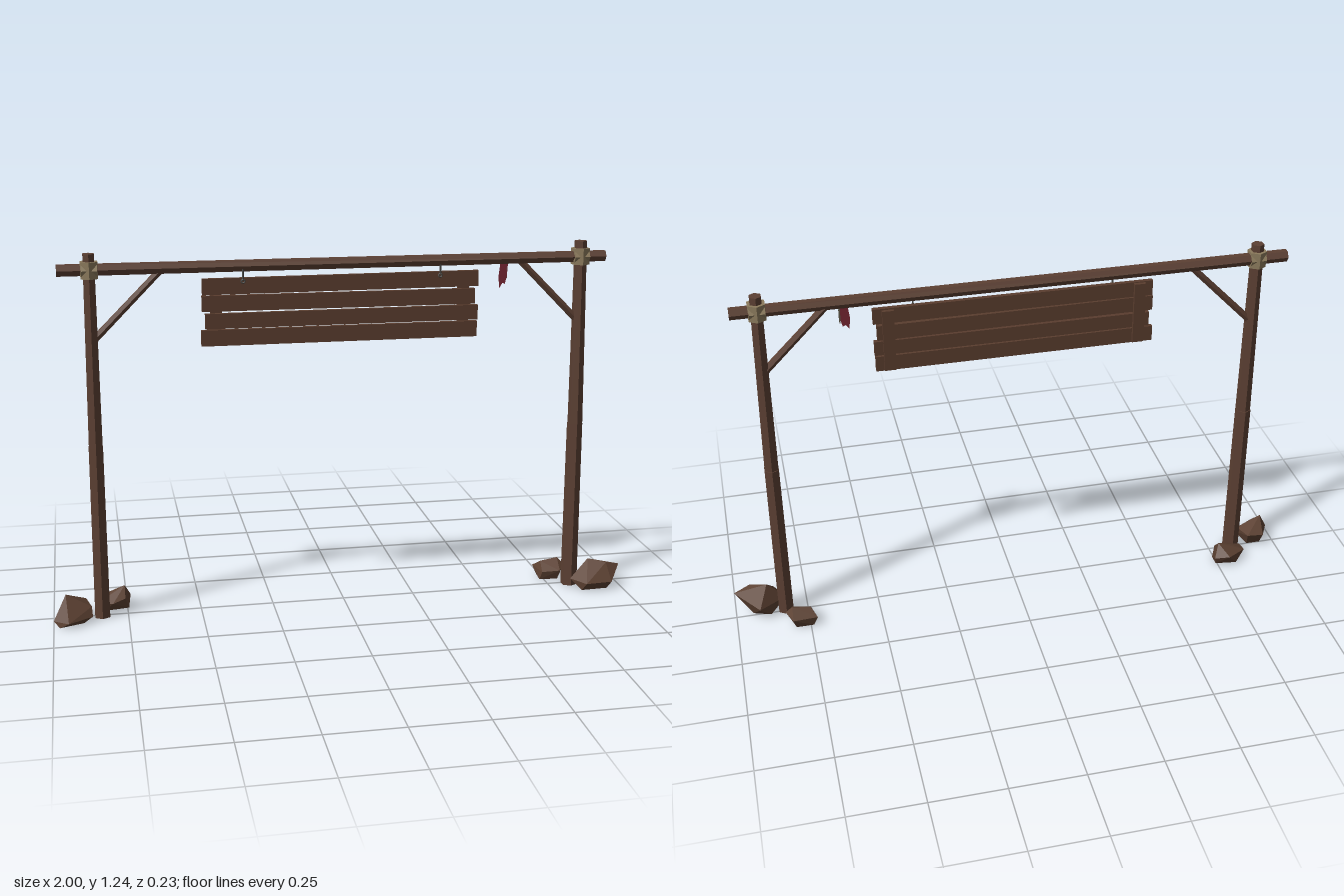
import * as THREE from 'three';
import { ConvexGeometry } from 'three/addons/geometries/ConvexGeometry.js';

const mat = (name, color, extra = {}) => {
  const m = new THREE.MeshStandardMaterial({ color, flatShading: true, ...extra });
  m.name = name;
  return m;
};

export function createModel() {
  const wood = mat('wood', 0x5c4033);
  const plankWood = mat('plankWood', 0x5a3d2e);
  const rope = mat('rope', 0x8b7a5c);
  const iron = mat('iron', 0x4a4a48);
  const stone = mat('stone', 0x5c4132);
  const redCloth = mat('redCloth', 0x8b2e3c, { side: THREE.DoubleSide });
  const paleCloth = mat('paleCloth', 0x857a66, { side: THREE.DoubleSide });

  const model = new THREE.Group();
  model.name = 'hangingSignGate';

  const add = (name, geometry, material, x = 0, y = 0, z = 0) => {
    const mesh = new THREE.Mesh(geometry, material);
    mesh.name = name;
    mesh.position.set(x, y, z);
    model.add(mesh);
    return mesh;
  };

  // Tapered pole from point a to point b
  const pole = (name, a, b, ra, rb, material = wood, sides = 6) => {
    const p = new THREE.Vector3(...a), q = new THREE.Vector3(...b);
    const dir = q.clone().sub(p);
    const mesh = add(name, new THREE.CylinderGeometry(rb, ra, dir.length(), sides), material);
    mesh.position.copy(p).add(q).multiplyScalar(0.5);
    mesh.quaternion.setFromUnitVectors(new THREE.Vector3(0, 1, 0), dir.normalize());
    return mesh;
  };

  // Posts, lashings and diagonal braces
  const posts = [
    { side: 'right', base: -0.837, mid: -0.834, top: -0.83, s: -1 },
    { side: 'left', base: 0.826, mid: 0.824, top: 0.817, s: 1 },
  ];
  for (const { side, base, mid, top, s } of posts) {
    pole(side + 'LowerPost', [base, 0, 0.009], [mid, 0.6, 0.008], 0.029, 0.027);
    pole(side + 'UpperPost', [mid, 0.6, 0.01], [top, 1.24, 0.011], 0.026, 0.021);
    pole(side + 'PostLashing', [top, 1.16, 0.011], [top, 1.215, 0.011], 0.032, 0.032, rope);
    pole(side + 'BeamLashing', [top - 0.026, 1.187, 0.011], [top + 0.026, 1.187, 0.011], 0.028, 0.028, rope);
    pole(side + 'Brace', [s * 0.82, 0.962, 0.009], [s * 0.603, 1.18, 0.009], 0.013, 0.012);
  }

  // Cross beam
  pole('crossBeam', [-0.933, 1.188, 0.008], [0.903, 1.187, 0.012], 0.021, 0.02);

  // Sign planks: left end, right end, centre height, height, tilt
  const planks = [
    [-0.471, 0.458, 1.123, 0.053, 0.002],
    [-0.473, 0.447, 1.065, 0.052, -0.003],
    [-0.463, 0.458, 1.008, 0.05, 0.001],
    [-0.477, 0.456, 0.952, 0.053, 0],
  ];
  planks.forEach(([x0, x1, y, h, tilt], i) => {
    const plank = add('signPlank' + (i + 1), new THREE.BoxGeometry(x1 - x0, h, 0.015), plankWood,
      (x0 + x1) / 2, y, 0.013);
    plank.rotation.z = tilt;
  });
  for (const x of [-0.425, 0.41]) {
    add('signBatten', new THREE.BoxGeometry(0.038, 0.215, 0.012), plankWood, x, 1.038, 0);
  }

  // Hangers between beam and sign
  for (const x of [-0.337, 0.325]) {
    pole('hangerRod', [x, 1.18, 0.022], [x, 1.14, 0.022], 0.003, 0.003, iron, 5);
    add('hangerRing', new THREE.TorusGeometry(0.006, 0.0025, 4, 8), iron, x, 1.138, 0.023);
  }

  // Ragged cloth strips tied to the beam
  const strip = (name, points, material, x, y, z, turn) => {
    const shape = new THREE.Shape(points.map(p => new THREE.Vector2(...p)));
    add(name, new THREE.ShapeGeometry(shape), material, x, y, z).rotation.y = turn;
  };
  strip('redClothStrip', [[-0.012, 0], [0.018, 0], [0.015, -0.045], [0.008, -0.072], [-0.002, -0.068],
    [-0.014, -0.085], [-0.018, -0.045]], redCloth, 0.546, 1.172, 0.012, 0.25);
  strip('paleClothStrip', [[-0.012, 0], [0.012, 0], [0.012, -0.04], [0.002, -0.058], [-0.01, -0.045]],
    paleCloth, 0.562, 1.172, 0.002, 1.2);

  // Boulders at the post feet: foot, belly and crown points as [x, y, z]
  const boulders = [
    [[-0.98, 0, 0.09], [-0.9, 0, 0.06], [-0.9, 0, 0], [-0.95, 0, 0], [-0.95, 0.02, 0.11], [-1, 0.018, 0.07],
      [-0.87, 0.02, 0.058], [-0.872, 0.05, 0.04], [-0.89, 0.055, -0.027], [-0.95, 0.05, -0.027], [-0.957, 0.097, 0.035]],
    [[-0.83, 0, -0.035], [-0.745, 0, -0.05], [-0.745, 0, -0.09], [-0.82, 0, -0.1], [-0.858, 0.035, -0.075],
      [-0.855, 0.03, -0.032], [-0.8, 0.03, -0.018], [-0.757, 0.04, -0.035], [-0.737, 0.03, -0.1],
      [-0.785, 0.045, -0.123], [-0.757, 0.076, -0.07], [-0.81, 0.055, -0.06]],
    [[0.735, 0, -0.045], [0.8, 0, -0.04], [0.8, 0, -0.1], [0.74, 0, -0.1], [0.725, 0.035, -0.105],
      [0.81, 0.04, -0.115], [0.832, 0.045, -0.065], [0.805, 0.035, -0.027], [0.742, 0.03, -0.037],
      [0.745, 0.06, -0.075], [0.808, 0.07, -0.075]],
    [[0.85, 0, 0.085], [0.945, 0, 0.08], [0.94, 0, 0.01], [0.88, 0, -0.01], [0.82, 0.03, 0.042], [0.86, 0.03, 0.107],
      [0.955, 0.03, 0.1], [1, 0.075, 0.042], [0.917, 0.055, -0.048], [0.885, 0.1, 0.035], [0.945, 0.09, 0.06]],
  ];
  boulders.forEach((points, i) => {
    add('boulder' + (i + 1), new ConvexGeometry(points.map(p => new THREE.Vector3(...p))), stone);
  });

  return model;
}
